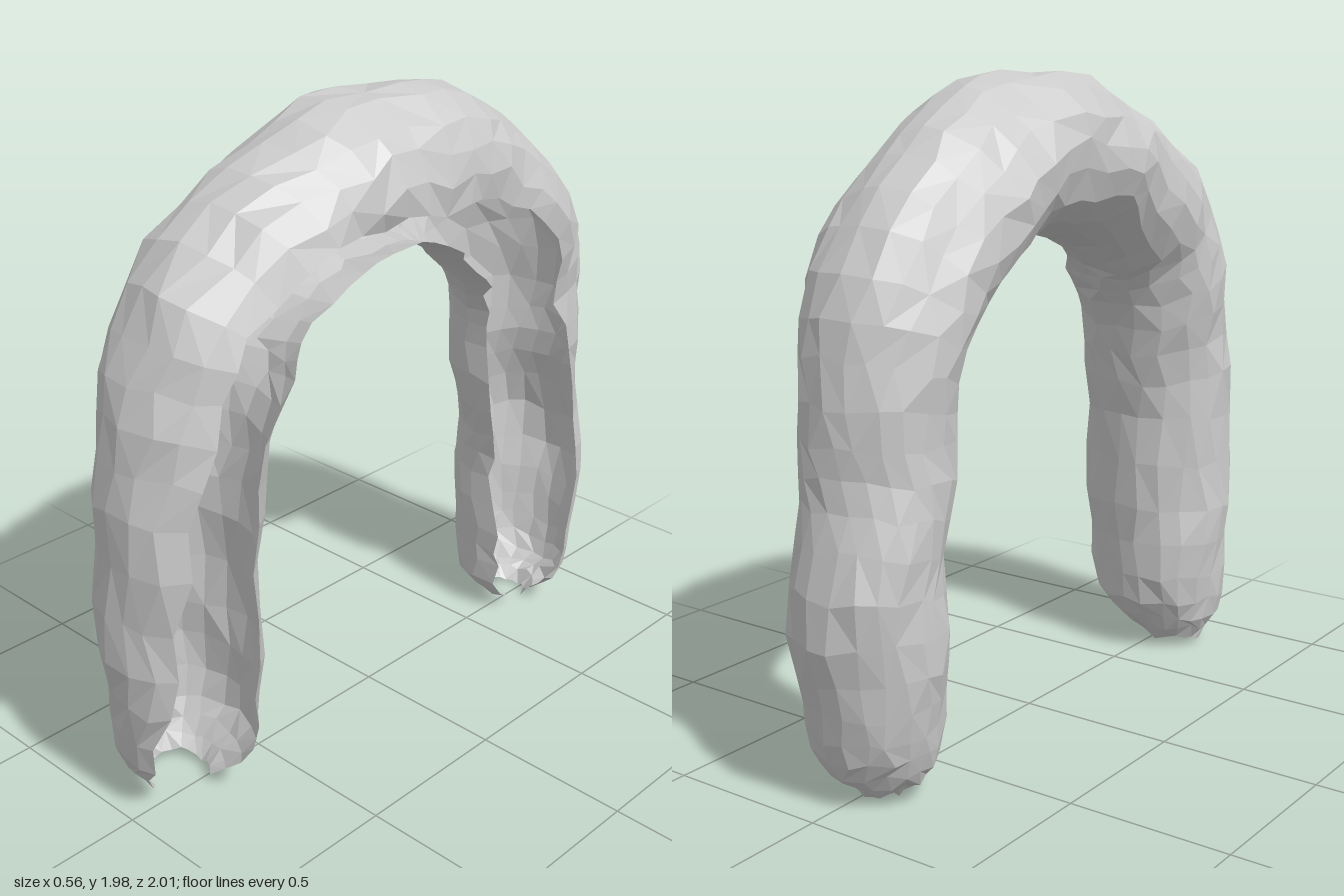
import * as THREE from 'three';

// Stations from the front foot over the top to the back foot:
// x, y, z of the centre line, radius, and the start and end angle of the gap in the shell
// (0 = outer side of the arch, 90 = +x, 180 = inner side).
const STATIONS = [
  [-0.06, 0.03, 0.78, 0.09, 8, 125],
  [-0.02, 0.18, 0.785, 0.19, 20, 116],
  [-0.01, 0.50, 0.785, 0.215, 42, 106],
  [0.00, 0.95, 0.78, 0.215, 58, 104],
  [0.00, 1.27, 0.715, 0.225, 72, 110],
  [0.00, 1.50, 0.59, 0.235, 74, 148],
  [0.00, 1.665, 0.33, 0.235, 95, 156],
  [0.00, 1.74, 0.08, 0.245, 108, 156],
  [0.00, 1.715, -0.20, 0.238, 109, 156],
  [-0.01, 1.61, -0.42, 0.235, 95, 156],
  [-0.01, 1.42, -0.62, 0.23, 92, 160],
  [-0.02, 1.18, -0.72, 0.205, 106, 168],
  [-0.03, 0.90, -0.74, 0.195, 76, 170],
  [-0.025, 0.60, -0.79, 0.205, 78, 170],
  [-0.02, 0.30, -0.765, 0.19, 80, 166],
  [-0.02, 0.11, -0.745, 0.155, 88, 160],
  [-0.02, 0.015, -0.745, 0.06, 90, 150],
];
const RINGS = 48, SIDES = 15;

// Repeatable hash in the range -1 to 1
function hash(a, b, c) {
  const s = Math.sin(a * 127.1 + b * 311.7 + c * 74.7) * 43758.5453;
  return 2 * (s - Math.floor(s)) - 1;
}

// Smooth blobs that read as stacked boulders
function lumps(p) {
  return 0.5 * Math.sin(p.x * 11 + p.y * 8 + 1.0) * Math.sin(p.z * 10 - p.x * 5 + 0.6)
    + 0.5 * Math.sin(p.y * 15 - p.z * 13 + p.x * 9);
}

function archShell() {
  const curve = (f) => new THREE.CatmullRomCurve3(
    STATIONS.map((s) => new THREE.Vector3(...f(s))), false, 'catmullrom');
  const path = curve((s) => [s[0], s[1], s[2]]);
  const section = curve((s) => [s[3], s[4], s[5]]);
  const side = new THREE.Vector3(1, 0, 0);
  const positions = [], index = [];

  for (let i = 0; i < RINGS; i++) {
    const u = i / (RINGS - 1);
    const centre = path.getPoint(u);
    const tangent = path.getTangent(u).setX(0).normalize();
    const outward = side.clone().cross(tangent);
    const shape = section.getPoint(u);
    // ragged rims on both sides of the gap
    const rimA = shape.y + 360 + 6 * hash(i, 1, 7);
    const rimB = shape.z + 5 * hash(i, 2, 3);
    for (let j = 0; j <= SIDES; j++) {
      const inner = j > 0 && j < SIDES;
      const jitter = inner ? 0.22 * hash(i, j, 1) : 0;
      const angle = THREE.MathUtils.degToRad(
        THREE.MathUtils.lerp(rimB, rimA, (j + jitter) / SIDES));
      const dir = outward.clone().multiplyScalar(Math.cos(angle))
        .addScaledVector(side, Math.sin(angle) * 1.1);
      const p = centre.clone().addScaledVector(dir, shape.x);
      const bump = 1 + 0.06 * lumps(p) + 0.02 * hash(i, j, 5);
      p.copy(centre).addScaledVector(dir, shape.x * bump);
      p.addScaledVector(tangent, 0.012 * hash(i, j, 9));
      // the inner lip flares sideways
      p.x += 0.2 * shape.x * Math.sin(angle) * Math.max(0, 1 - j / 3);
      positions.push(p.x, p.y, p.z);
    }
  }

  // Alternate the diagonals for an irregular facet pattern
  const row = SIDES + 1;
  for (let i = 0; i < RINGS - 1; i++) {
    for (let j = 0; j < SIDES; j++) {
      const a = i * row + j, b = a + 1, c = a + row, d = c + 1;
      if (hash(i, j, 4) > 0) index.push(a, b, c, b, d, c);
      else index.push(a, b, d, a, d, c);
    }
  }

  const geometry = new THREE.BufferGeometry();
  geometry.setAttribute('position', new THREE.Float32BufferAttribute(positions, 3));
  geometry.setIndex(index);
  geometry.computeVertexNormals();
  return geometry;
}

export function createModel() {
  const group = new THREE.Group();
  group.name = 'rockArch';
  const stone = new THREE.MeshStandardMaterial({
    color: 0xcccccc, flatShading: true, side: THREE.DoubleSide,
  });
  const shell = new THREE.Mesh(archShell(), stone);
  shell.name = 'archShell';
  group.add(shell);
  return group;
}
